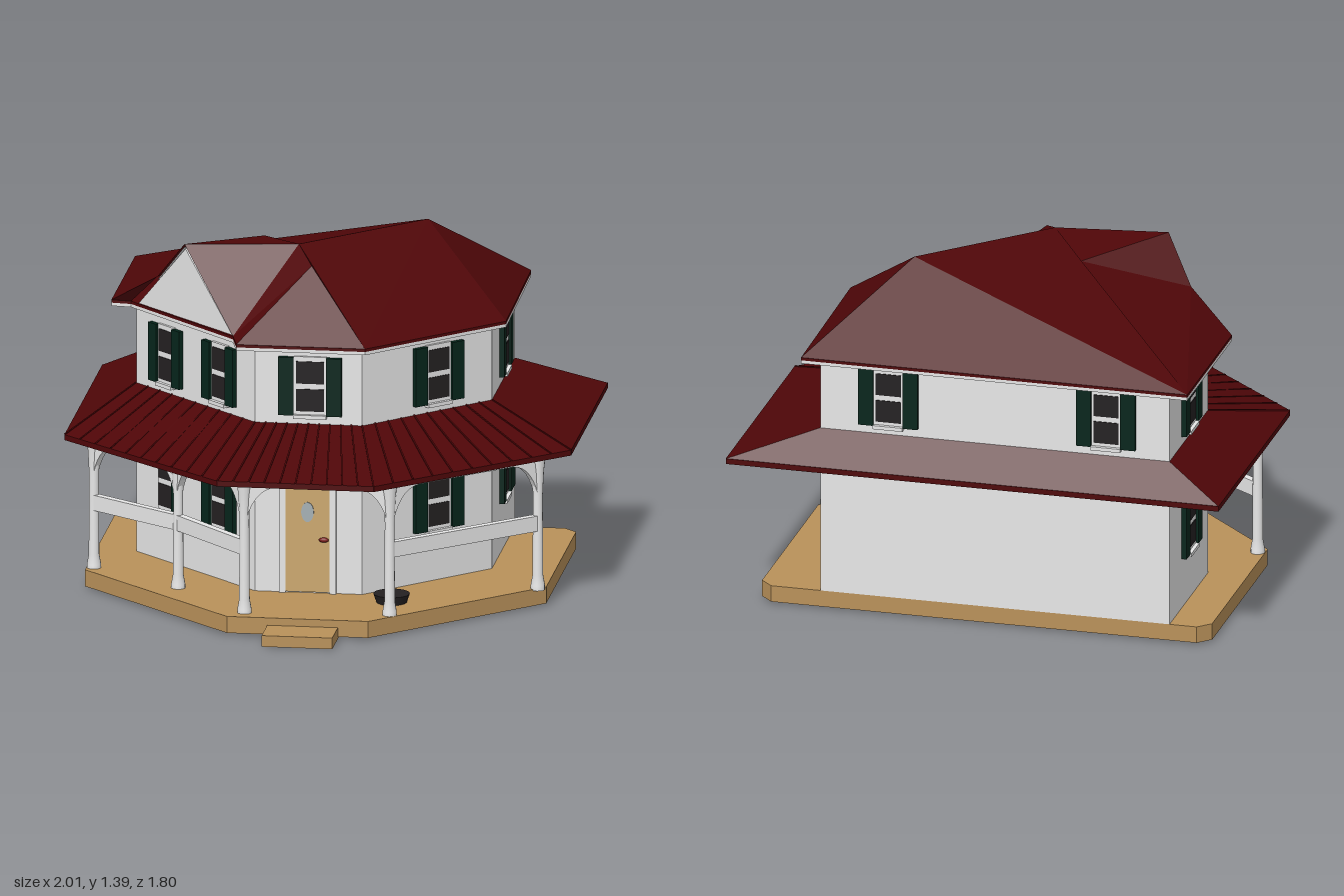
import * as THREE from 'three';

const mat = (name, color) => {
  const m = new THREE.MeshStandardMaterial({ color });
  m.name = name;
  return m;
};

export function createModel() {
  const house = new THREE.Group();
  house.name = 'house';
  const white = mat('white paint', 0xffffff);
  const red = mat('red roof', 0x4f0608);
  red.side = THREE.DoubleSide;
  const tan = mat('tan deck', 0xb9915a);
  const wood = mat('door wood', 0xcca86e);
  const green = mat('green shutter', 0x05251b);
  const dark = mat('dark glass', 0x242122);
  const grey = mat('grey glass', 0xa6b0b4);
  const knobRed = mat('red knob', 0x7c1a18);

  const add = (name, geo, material, parent = house) => {
    const m = new THREE.Mesh(geo, material);
    m.name = name;
    parent.add(m);
    return m;
  };
  const box = (name, w, h, d, x, y, z, material, parent) => {
    const m = add(name, new THREE.BoxGeometry(w, h, d), material, parent);
    m.position.set(x, y, z);
    return m;
  };
  // Vertical prism over a plan outline of [x, z] points
  const prism = (name, plan, y0, y1, material) => {
    const shape = new THREE.Shape(plan.map(([x, z]) => new THREE.Vector2(x, -z)));
    const geo = new THREE.ExtrudeGeometry(shape, { depth: y1 - y0, bevelEnabled: false });
    geo.rotateX(-Math.PI / 2).translate(0, y0, 0);
    return add(name, geo, material);
  };
  // Flat-faced surface from triangles, all turned to face up (or down)
  const facets = (name, tris, material, up = 1) => {
    const pos = [];
    for (const [a, b, c] of tris) {
      const ny = (b[2] - a[2]) * (c[0] - a[0]) - (b[0] - a[0]) * (c[2] - a[2]);
      pos.push(...(ny * up >= 0 ? [a, b, c] : [a, c, b]).flat());
    }
    const geo = new THREE.BufferGeometry();
    geo.setAttribute('position', new THREE.Float32BufferAttribute(pos, 3));
    geo.computeVertexNormals();
    return add(name, geo, material);
  };

  // Deck and step
  prism('deck', [
    [-0.88, -0.78], [-0.93, -0.73], [-0.93, 0.11], [-0.28, 0.74],
    [0.28, 0.74], [0.9, 0.12], [0.9, -0.73], [0.85, -0.78]], 0.008, 0.075, tan);
  box('step', 0.28, 0.045, 0.2, 0.02, 0.0225, 0.8, tan);

  // Walls of both floors
  const plan = [[-0.77, -0.78], [-0.77, -0.2], [-0.225, 0.335], [0.2, 0.335], [0.65, -0.13], [0.65, -0.78]];
  prism('walls', plan, 0.05, 1.08, white);

  // Porch roof: sloping ring from wall to eave, with pale underside
  const eave = [[-1, -0.9], [-1, 0.18], [-0.31, 0.8], [0.31, 0.8], [1, 0.14], [1, -0.9]];
  const ring = (yOut, yIn) => eave.flatMap((o, i) => {
    const j = (i + 1) % eave.length;
    const a = [o[0], yOut, o[1]], b = [eave[j][0], yOut, eave[j][1]];
    const c = [plan[j][0], yIn, plan[j][1]], d = [plan[i][0], yIn, plan[i][1]];
    return [[a, b, c], [a, c, d]];
  });
  facets('porchRoof', ring(0.64, 0.76), red);
  facets('porchCeiling', ring(0.618, 0.735), white, -1);
  eave.forEach(([x, z], i) => {
    const [x2, z2] = eave[(i + 1) % eave.length];
    const edge = box('porchFascia', Math.hypot(x2 - x, z2 - z), 0.022, 0.004, (x + x2) / 2, 0.629, (z + z2) / 2, red);
    edge.rotation.y = Math.atan2(-(z2 - z), x2 - x);
  });

  // Low seams on the front slopes of the porch roof
  for (let s = 1; s <= 3; s++) {
    for (let k = 0; k <= 10; k++) {
      const at = (list, y) => new THREE.Vector3(
        THREE.MathUtils.lerp(list[s][0], list[s + 1][0], k / 10), y,
        THREE.MathUtils.lerp(list[s][1], list[s + 1][1], k / 10));
      const p = at(plan, 0.76), q = at(eave, 0.64);
      const seam = box('roofSeam', 0.006, 0.007, p.distanceTo(q), 0, 0, 0, red);
      seam.position.copy(p).lerp(q, 0.5);
      seam.lookAt(q);
    }
  }

  // Upper roof: diagonal ridge, hips and one gable on the angled corner
  const BL = [-0.87, 1.09, -0.885], BR = [0.7, 1.09, -0.885], R = [0.71, 1.09, -0.1];
  const FR = [0.22, 1.09, 0.4], FL = [-0.29, 1.09, 0.4], L = [-0.87, 1.09, -0.21];
  const GL = [-0.79, 1.09, -0.2], GR = [-0.32, 1.09, 0.28];
  const P1 = [0.35, 1.395, -0.47], P2 = [-0.1, 1.395, -0.02], K = [-0.03, 1.345, 0.12];
  const G = [-0.27, 1.36, -0.26], A = [-0.545, 1.395, 0.045], M = [-0.67, 1.225, -0.08];
  facets('upperRoof', [
    [BL, BR, P1], [BL, P1, P2], [BL, P2, G], [BL, G, M], [BL, M, L], [L, M, GL], [M, G, A],
    [A, G, P2], [A, P2, GR], [GR, P2, K], [GR, K, FL], [FL, K, FR],
    [FR, R, P1], [FR, P1, P2], [FR, P2, K], [R, BR, P1],
  ], red);
  const drop = ([x, y, z]) => [x, y - 0.012, z];
  facets('gableSoffit', [[M, G, A], [A, P2, GR]].map((t) => t.map(drop)), white, -1);
  const eaveLine = [BL, L, GL, GR, FL, FR, R, BR].map((p) => [p[0], p[2]]);
  prism('upperSoffit', eaveLine, 1.065, 1.078, white);
  prism('upperEave', eaveLine, 1.078, 1.0895, red);

  // Gable wall set just under the roof edge
  const gable = new THREE.Shape([
    new THREE.Vector2(-0.32, 0), new THREE.Vector2(0.32, 0), new THREE.Vector2(0, 0.3)]);
  const gableWall = add('gableWall', new THREE.ExtrudeGeometry(gable, { depth: 0.016, bevelEnabled: false }), white);
  gableWall.position.set(-0.53, 1.075, 0.03);
  gableWall.rotation.y = -Math.PI / 4;

  // Window: frame, two panes, sill and shutters of the given widths (0 for none)
  const addWindow = (x, y, z, angle, pw = 0.12, left = 0.06, right = left) => {
    const g = new THREE.Group();
    g.name = 'window';
    g.position.set(x, y, z);
    g.rotation.y = angle;
    house.add(g);
    box('frame', pw, 0.24, 0.016, 0, 0, 0.002, white, g);
    for (const s of [-1, 1]) {
      box('pane', pw * 0.85, 0.09, 0.006, 0, s * 0.056, 0.01, dark, g);
      const w = s < 0 ? left : right;
      if (w) box('shutter', w, 0.235, 0.02, s * (pw + w) / 2, 0, 0.011, green, g);
    }
    box('sill', pw, 0.015, 0.03, 0, -0.122, 0.01, white, g);
  };
  const q = Math.PI / 4;
  for (const y of [0.4, 0.915]) {
    const lower = y < 0.5;
    addWindow(-0.625, y, -0.055, -q, 0.1, lower ? 0 : 0.05, 0.05);
    addWindow(-0.38, y, 0.187, -q, 0.1, 0.052);
    addWindow(0.46, y, 0.068, q);
    addWindow(0.65, y, -0.46, Math.PI / 2, 0.13, 0.06, lower ? 0.12 : 0.06);
    addWindow(-0.77, y, -0.48, -Math.PI / 2);
  }
  addWindow(-0.005, 0.915, 0.335, 0, 0.13);
  addWindow(0.37, 0.915, -0.78, Math.PI);
  addWindow(-0.515, 0.915, -0.78, Math.PI);

  // Front door
  box('door', 0.175, 0.43, 0.016, -0.015, 0.295, 0.337, wood);
  for (const s of [-1, 1]) box('doorJamb', 0.025, 0.46, 0.02, -0.015 + s * 0.1, 0.305, 0.338, white);
  box('doorLintel', 0.225, 0.03, 0.02, -0.015, 0.525, 0.338, white);
  const pane = add('doorGlass', new THREE.CylinderGeometry(0.025, 0.025, 0.006, 20), grey);
  pane.rotation.x = Math.PI / 2;
  pane.scale.z = 1.6;
  pane.position.set(-0.015, 0.405, 0.346);
  const handle = add('doorHandle', new THREE.SphereGeometry(0.01, 10, 8), knobRed);
  handle.scale.x = 2;
  handle.position.set(0.05, 0.295, 0.352);

  // Porch posts with base and capital
  const posts = [[-0.9, 0.07], [-0.53, 0.33], [-0.22, 0.67], [0.35, 0.63], [0.87, 0.145]];
  const profile = [[0.028, 0.07], [0.028, 0.09], [0.021, 0.13], [0.019, 0.45], [0.024, 0.55], [0.034, 0.64]]
    .map(([r, y]) => new THREE.Vector2(r, y));
  for (const [x, z] of posts) add('post', new THREE.LatheGeometry(profile, 14), white).position.set(x, 0, z);

  // Arched beams and railings between the posts
  for (let i = 0; i < posts.length - 1; i++) {
    const [x, z] = posts[i], [x2, z2] = posts[i + 1];
    const len = Math.hypot(x2 - x, z2 - z), turn = Math.atan2(-(z2 - z), x2 - x);
    const arch = new THREE.Shape();
    arch.moveTo(0, 0.64);
    arch.lineTo(0, 0.42);
    arch.quadraticCurveTo(0.03, 0.58, 0.13, 0.59);
    arch.lineTo(len - 0.13, 0.59);
    arch.quadraticCurveTo(len - 0.03, 0.58, len, 0.42);
    arch.lineTo(len, 0.64);
    const geo = new THREE.ExtrudeGeometry(arch, { depth: 0.03, bevelEnabled: false, curveSegments: 8 });
    const m = add('archBeam', geo.translate(0, 0, -0.015), white);
    m.position.set(x, 0, z);
    m.rotation.y = turn;
    if (i !== 2) box('railing', len, 0.062, 0.03, (x + x2) / 2, 0.342, (z + z2) / 2, white).rotation.y = turn;
  }

  // Round dark dish on the deck
  add('dish', new THREE.CylinderGeometry(0.072, 0.06, 0.035, 20), dark).position.set(0.33, 0.0925, 0.43);

  return house;
}
